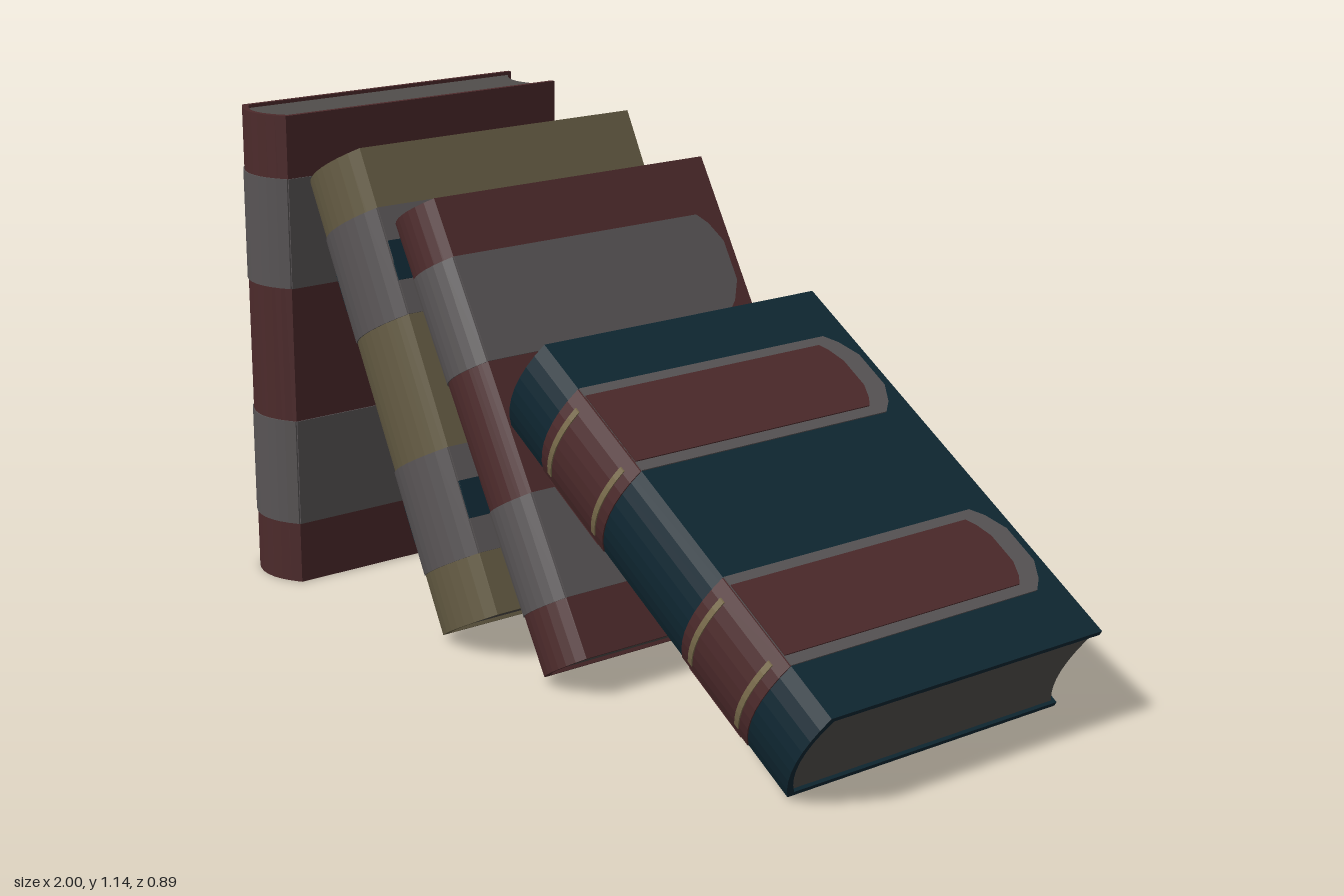
import * as THREE from 'three';

const mat = (name, color) => {
  const m = new THREE.MeshStandardMaterial({ color });
  m.name = name;
  return m;
};
const red = mat('dark red', 0x4c2a2b);
const olive = mat('olive', 0x635a42);
const navy = mat('navy', 0x0f2732);
const grey = mat('stripe grey', 0x585455);
const paper = mat('paper grey', 0x504d4b);
const gold = mat('dull gold', 0x7a6c4c);

const COVER = 0.012; // board thickness
const BULGE = 0.035; // roundness of the spine
const SKIN = 0.003; // thickness of painted bands
const STRIPES = [[0.64, 0.87], [0.13, 0.355]]; // as fractions of the height

function add(group, name, geometry, material) {
  const mesh = new THREE.Mesh(geometry, material);
  mesh.name = name;
  group.add(mesh);
}

// Curve across a book of half width w, bulging towards +z, as [x, z] points
function arc(w, z, bulge = BULGE, n = 8) {
  return Array.from({ length: n + 1 }, (_, i) => {
    const t = (2 * i) / n - 1;
    return [t * w, z - bulge * t * t];
  });
}

// Upright prism from an [x, z] outline
function prism(points, y0, y1) {
  const shape = new THREE.Shape(points.map(([x, z]) => new THREE.Vector2(x, -z)));
  const g = new THREE.ExtrudeGeometry(shape, { depth: y1 - y0, bevelEnabled: false });
  return g.rotateX(-Math.PI / 2).translate(0, y0, 0);
}

// Thin stripe on a cover board, tapering towards the fore edge
function sideStripe(side, w, y0, y1, zFront, zShoulder, zTip, skin) {
  const q = (y1 - y0) * 0.3;
  const outline = [[zFront, y0], [zFront, y1], [zShoulder, y1],
    [(zShoulder + zTip) / 2, y1 - q * 0.35], [zTip, y1 - q],
    [zTip, y0 + q], [(zShoulder + zTip) / 2, y0 + q * 0.35], [zShoulder, y0]];
  const shape = new THREE.Shape(outline.map(([z, y]) => new THREE.Vector2(z, y)));
  const g = new THREE.ExtrudeGeometry(shape, { depth: skin, bevelEnabled: false });
  return g.rotateY(-Math.PI / 2).translate(side < 0 ? -w : w + skin, 0, 0);
}

// Thin band following the rounded spine, optionally narrower than the book
function spineBand(w, z, y0, y1, skin, width = 1) {
  const inner = arc(w * width, z, BULGE * width * width);
  const outer = inner.map(([x, zz]) => [x, zz + skin]).reverse();
  return prism([...inner, ...outer], y0, y1);
}

function book({ name, width, height, front, back, x, y, lean, cover, band, inset, lines }) {
  const g = new THREE.Group();
  g.name = name;
  const w = width / 2;
  const h = height / 2;
  const edge = front - BULGE;

  // Case: two boards joined by the rounded spine
  const outer = arc(w, front);
  const inner = arc(w - COVER, front - COVER).reverse();
  add(g, 'cover', prism([...outer, [w, back], [w - COVER, back], ...inner,
    [-w + COVER, back], [-w, back]], -h, h), cover);

  // Page block with a hollow fore edge
  const pw = w - COVER;
  add(g, 'pages', prism([...arc(pw, front - COVER),
    ...arc(pw, back + 0.045).reverse()], -h + 0.008, h - 0.008), paper);

  for (const [a, b] of STRIPES) {
    const y0 = -h + a * height;
    const y1 = -h + b * height;
    add(g, 'spineStripe', spineBand(w, front, y0, y1, SKIN), band);
    if (lines) {
      for (const ly of [y0 + 0.035, y1 - 0.035]) {
        add(g, 'spineLine', spineBand(w, front, ly - 0.007, ly + 0.007, SKIN * 2, 0.8), gold);
      }
    }
    for (const side of [-1, 1]) {
      add(g, 'coverStripe', sideStripe(side, w, y0, y1, edge, back + 0.075, back + 0.022, SKIN), grey);
      if (inset) {
        const m = inset.margin;
        add(g, 'stripeInset', sideStripe(side, w, y0 + m, y1 - m, edge,
          back + inset.tip + 0.03, back + inset.tip, SKIN * 2), inset.material);
      }
    }
  }
  g.position.set(x, y, 0);
  g.rotation.z = THREE.MathUtils.degToRad(lean);
  return g;
}

export function createModel() {
  const model = new THREE.Group();
  model.name = 'leaningBooks';
  model.add(
    book({ name: 'uprightBook', width: 0.195, height: 1.14, front: 0.442, back: -0.365,
      x: -0.9, y: 0.575, lean: 0, cover: red, band: grey }),
    book({ name: 'oliveBook', width: 0.245, height: 1.1, front: 0.385, back: -0.42,
      x: -0.432, y: 0.554, lean: 27.8, cover: olive, band: grey,
      inset: { margin: 0.08, tip: 0.14, material: navy } }),
    book({ name: 'redBook', width: 0.178, height: 1.07, front: 0.355, back: -0.445,
      x: -0.131, y: 0.515, lean: 30.8, cover: red, band: grey }),
    book({ name: 'navyBook', width: 0.243, height: 1.077, front: 0.352, back: -0.445,
      x: 0.473, y: 0.389, lean: 59.1, cover: navy, band: red, lines: true,
      inset: { margin: 0.025, tip: 0.078, material: red } }),
  );
  return model;
}
